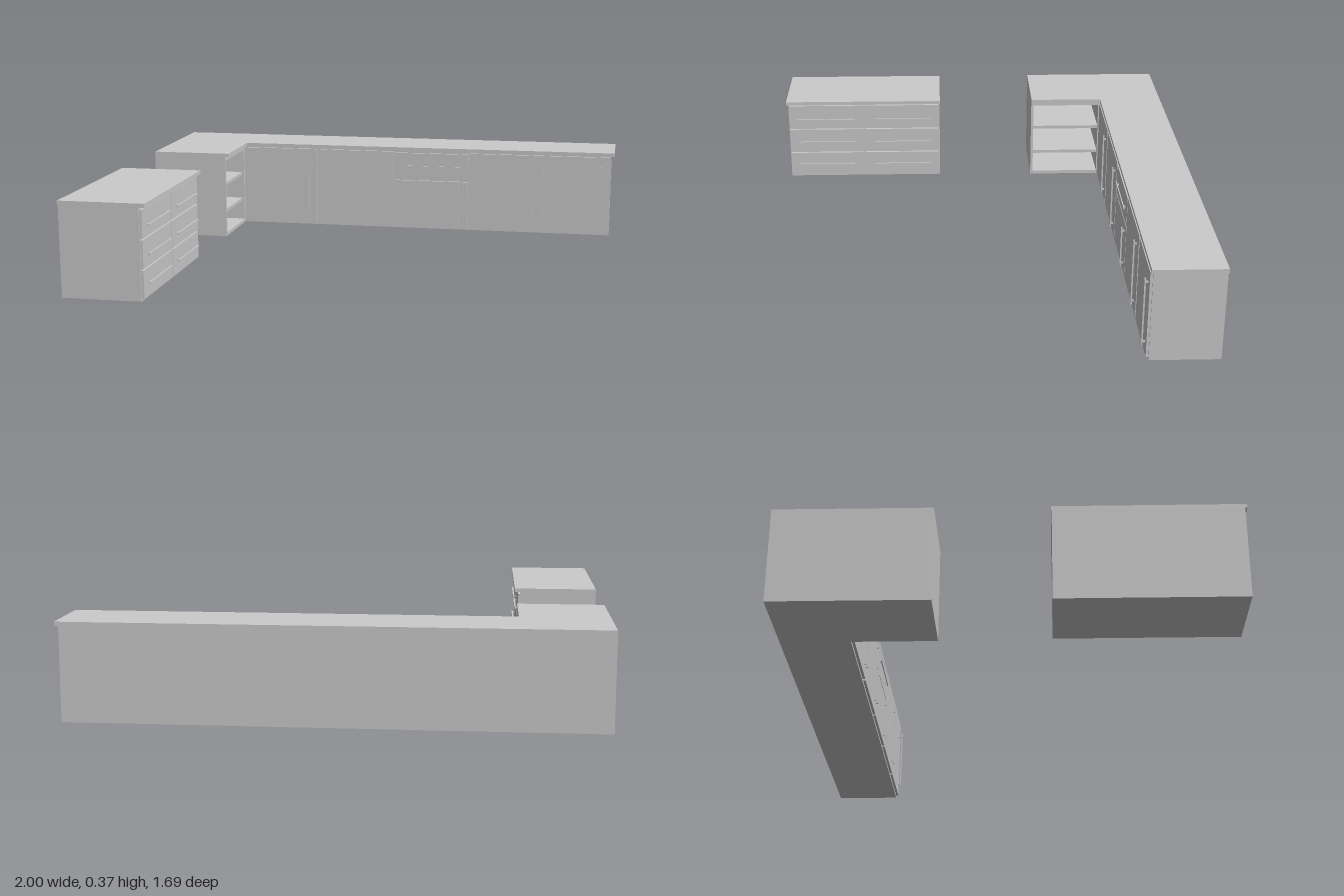
import * as THREE from 'three';

const material = new THREE.MeshStandardMaterial({ color: 0xcccccc });

// Box given by its minimum and maximum on each axis
function box(parent, name, x0, x1, y0, y1, z0, z1) {
  const mesh = new THREE.Mesh(new THREE.BoxGeometry(x1 - x0, y1 - y0, z1 - z0), material);
  mesh.position.set((x0 + x1) / 2, (y0 + y1) / 2, (z0 + z1) / 2);
  mesh.name = name;
  parent.add(mesh);
  return mesh;
}

function group(parent, name) {
  const g = new THREE.Group();
  g.name = name;
  parent.add(g);
  return g;
}

const TOP = 0.37, UNDER = 0.355;
const BACK = -0.845, BODY = -0.583, FACE = -0.573;

export function createModel() {
  const model = new THREE.Group();
  model.name = 'kitchenCabinets';

  // L-shaped worktop
  const outline = new THREE.Shape([
    [-1, 0.845], [-1, 0.265], [-0.665, 0.265], [-0.665, 0.575], [1, 0.575], [1, 0.845],
  ].map(([x, y]) => new THREE.Vector2(x, y)));
  const topGeometry = new THREE.ExtrudeGeometry(outline, { depth: TOP - UNDER, bevelEnabled: false });
  topGeometry.rotateX(-Math.PI / 2);
  const worktop = new THREE.Mesh(topGeometry, material);
  worktop.name = 'worktop';
  worktop.position.y = UNDER;
  model.add(worktop);

  // Long run along the back
  const run = group(model, 'backRun');
  box(run, 'runCarcass', -1, 0.985, 0, UNDER, BACK, BODY);

  // Doors: left edge, right edge, top, handle position, handle top
  const doors = [
    [-0.665, -0.335, 0.35, -0.375, 0.31],
    [-0.32, 0.015, 0.35, -0.03, 0.31],
    [0.025, 0.355, 0.22, 0.312, 0.2],
    [0.362, 0.69, 0.35, 0.645, 0.31],
    [0.705, 0.98, 0.35, 0.945, 0.31],
  ];
  for (const [x0, x1, top, hx, handleTop] of doors) {
    const door = group(run, 'door');
    box(door, 'doorPanel', x0, x1, 0.01, top, BODY, FACE);
    const low = top < 0.3 ? 0.03 : 0.04;
    box(door, 'doorHandle', hx - 0.004, hx + 0.004, low, handleTop, FACE + 0.008, FACE + 0.014);
    for (const y of [low + 0.015, handleTop - 0.015]) {
      box(door, 'handlePost', hx - 0.003, hx + 0.003, y - 0.003, y + 0.003, FACE, FACE + 0.008);
    }
  }

  // Single drawer above the short door
  const drawer = group(run, 'drawer');
  box(drawer, 'drawerPanel', 0.025, 0.355, 0.226, 0.345, BODY, FACE);
  box(drawer, 'drawerHandle', 0.065, 0.325, 0.281, 0.289, FACE + 0.006, FACE + 0.01);
  for (const x of [0.09, 0.3]) {
    box(drawer, 'handlePost', x - 0.003, x + 0.003, 0.282, 0.288, FACE, FACE + 0.006);
  }

  // Open shelf unit in the short leg, facing +x
  const shelfUnit = group(model, 'shelfUnit');
  const z0 = BODY, z1 = -0.265, x1 = -0.68;
  box(shelfUnit, 'shelfBack', -1, -0.985, 0, UNDER, z0, z1);
  box(shelfUnit, 'shelfFrontPanel', -0.985, x1, 0, UNDER, z1 - 0.011, z1);
  box(shelfUnit, 'shelfInnerPanel', -0.985, x1, 0, UNDER, z0, -0.57);
  box(shelfUnit, 'shelfFloor', -0.985, x1, 0, 0.015, -0.57, z1 - 0.011);
  box(shelfUnit, 'shelfCeiling', -0.985, x1, 0.337, UNDER, -0.57, z1 - 0.011);
  for (const y of [0.1, 0.22]) {
    box(shelfUnit, 'shelf', -0.985, x1 - 0.01, y, y + 0.014, -0.57, z1 - 0.011);
  }

  // Separate drawer island
  const island = group(model, 'island');
  box(island, 'islandTop', -1, -0.665, UNDER, TOP, 0.15, 0.843);
  box(island, 'islandCarcass', -1, -0.69, 0, UNDER, 0.152, 0.836);
  for (const [a, b, h0, h1] of [[0.158, 0.492, 0.194, 0.45], [0.498, 0.832, 0.537, 0.795]]) {
    for (let i = 0; i < 3; i++) {
      const y = 0.008 + i * 0.114;
      const hy = 0.062 + i * 0.109;
      const front = group(island, 'islandDrawer');
      box(front, 'drawerPanel', -0.69, -0.68, y, y + 0.109, a, b);
      box(front, 'drawerHandle', -0.672, -0.666, hy - 0.004, hy + 0.004, h0, h1);
      for (const z of [h0 + 0.02, h1 - 0.02]) {
        box(front, 'handlePost', -0.68, -0.672, hy - 0.003, hy + 0.003, z - 0.003, z + 0.003);
      }
    }
  }

  return model;
}
